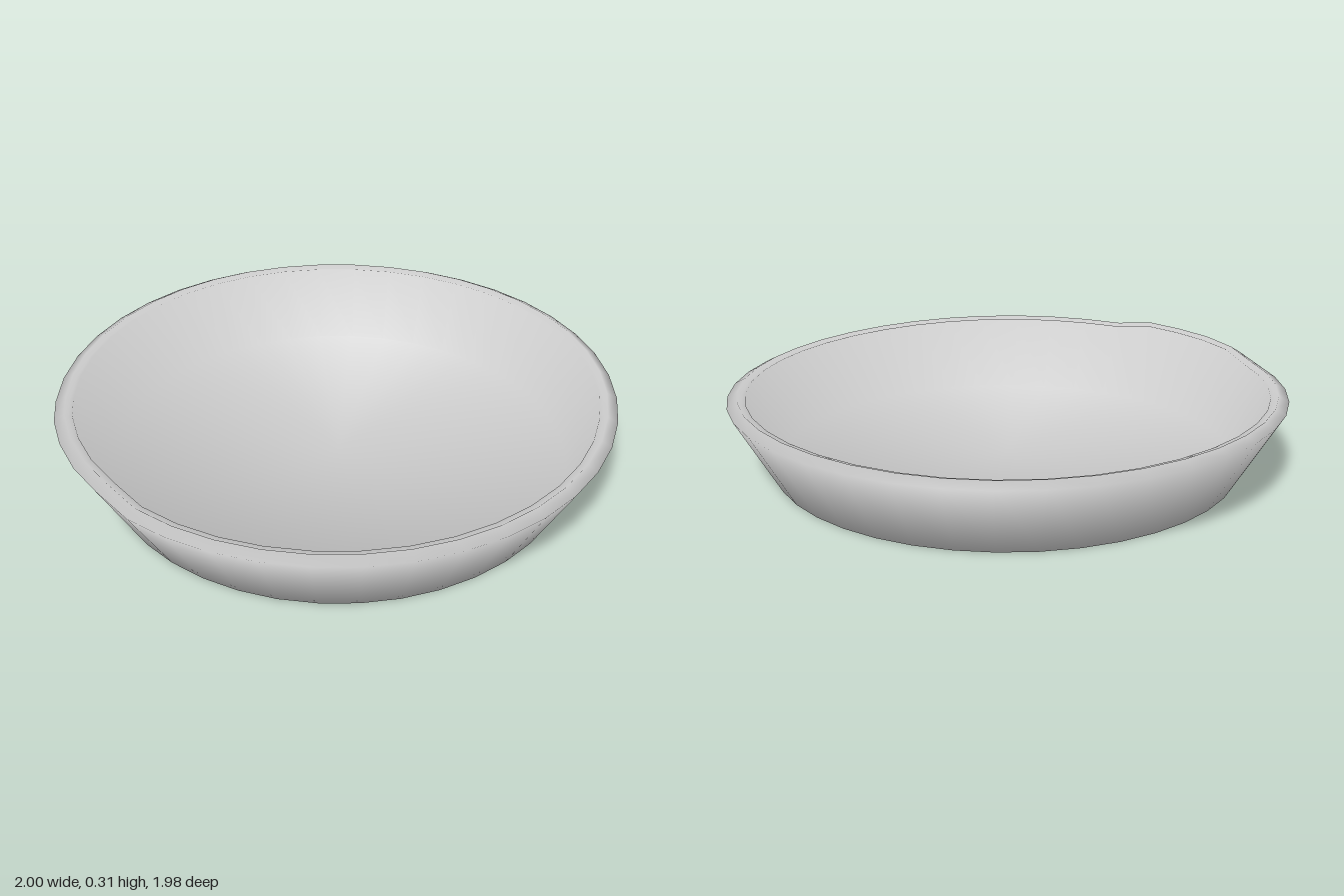
import * as THREE from 'three';

const SIDES = 40;

// Closed cross-section from the underside centre, over the rim, to the floor centre
const PROFILE = [
  [0, 0], [0.843, 0], [1.002, 0.27], [0.965, 0.289], [0.952, 0.276],
  [0.938, 0.28], [0.838, 0.012], [0, 0.012],
].map(([r, y]) => new THREE.Vector2(r, y));

// Outward normal of each profile point: mean of its two neighbouring edges
const PROFILE_NORMALS = PROFILE.map((point, i) => {
  const normal = new THREE.Vector2();
  for (const [a, b] of [[i - 1, i], [i, i + 1]]) {
    if (!PROFILE[a] || !PROFILE[b]) continue;
    const edge = PROFILE[b].clone().sub(PROFILE[a]).normalize();
    normal.add(new THREE.Vector2(edge.y, -edge.x));
  }
  return normal.normalize();
});

// Raised, slightly uneven stretch of rim on the right side
function rimLift(x, z) {
  const wave = 0.003 * Math.sin(3 * Math.atan2(z, x) + 0.6);
  if (x > 0) return wave;
  const rise = THREE.MathUtils.smoothstep(z, -0.47, -0.33);
  const fall = 1 - THREE.MathUtils.smoothstep(z, 0.07, 0.24);
  return wave + 0.025 * rise * fall;
}

function dishGeometry() {
  const geometry = new THREE.LatheGeometry(PROFILE, SIDES, Math.PI / SIDES);
  const { position, normal } = geometry.attributes;
  for (let i = 0; i < position.count; i++) {
    const x = position.getX(i), y = position.getY(i), z = position.getZ(i);
    if (y > 0.2) {
      position.setY(i, y + rimLift(x, z));
      position.setZ(i, z * 0.992);
    } else {
      // The foot sits a touch forward of the rim
      position.setZ(i, z + 0.008);
    }
    // Smooth shading that runs from the walls into the floor and underside
    const angle = Math.PI / SIDES + Math.floor(i / PROFILE.length) * 2 * Math.PI / SIDES;
    const n = PROFILE_NORMALS[i % PROFILE.length];
    normal.setXYZ(i, n.x * Math.sin(angle), n.y, n.x * Math.cos(angle));
  }
  return geometry;
}

export function createModel() {
  const group = new THREE.Group();
  group.name = 'shallowDish';
  const material = new THREE.MeshStandardMaterial({ color: 0xcccccc });
  const dish = new THREE.Mesh(dishGeometry(), material);
  dish.name = 'dish';
  group.add(dish);
  return group;
}
